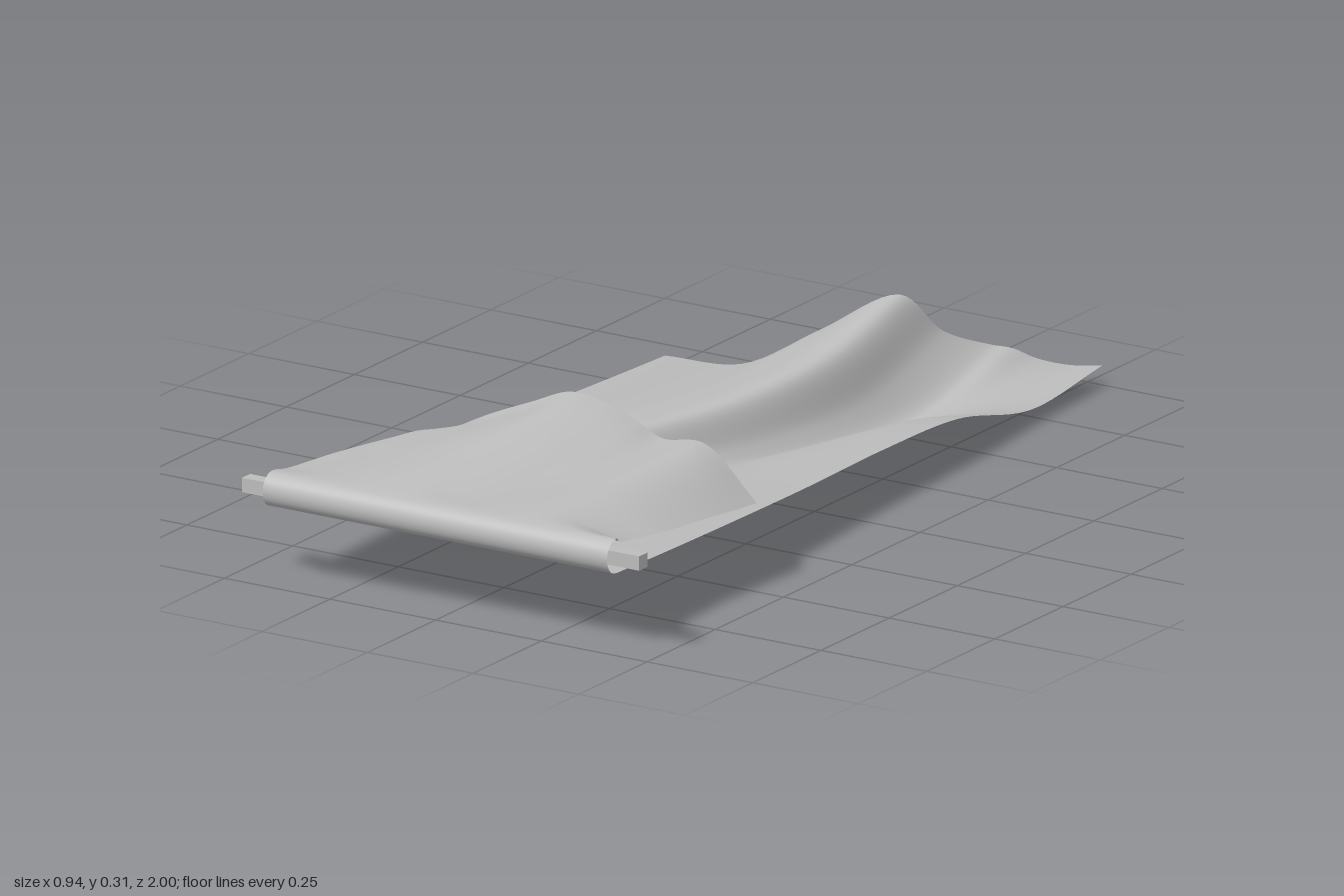
import * as THREE from 'three';

const lerp = THREE.MathUtils.lerp;

// Long lower sheet: each row runs from the right edge over a fold crest and a valley to the left edge
function sheetRows() {
  // Lengthwise lines as [x, y], from the slanted back hem to the bar, with the z of their hem end
  const steps = [1, 0.85, 0.7, 0.55, 0.4, 0.25, 0.1, 0];
  const lines = [
    { hem: -0.49, xy: [[-0.42, 0.076], [-0.42, 0.084], [-0.419, 0.094], [-0.417, 0.105], [-0.415, 0.12], [-0.413, 0.135], [-0.411, 0.149], [-0.41, 0.159]] },
    { hem: -0.7, xy: [[0, 0.22], [-0.005, 0.158], [-0.07, 0.117], [-0.18, 0.096], [-0.27, 0.097], [-0.325, 0.112], [-0.35, 0.14], [-0.35, 0.159]] },
    { hem: -0.86, xy: [[0.11, 0.092], [0.105, 0.014], [0.05, 0], [-0.06, 0.01], [-0.17, 0.036], [-0.24, 0.075], [-0.27, 0.13], [-0.27, 0.159]] },
    { hem: -1, xy: [[0.285, 0.04], [0.308, 0.032], [0.324, 0.095], [0.337, 0.112], [0.357, 0.121], [0.38, 0.136], [0.397, 0.15], [0.405, 0.159]] },
  ];
  // Points between neighbouring lines: part of the way across, part of the rise
  const between = [
    [[0, 0], [0.33, -0.08], [0.66, 0.45]],
    [[0, 0], [0.48, 0.68]],
    [[0, 0], [0.2, 0.18], [0.42, 0.62], [0.7, 0.92]],
  ];
  return steps.map((t, k) => {
    const p = lines.map(({ hem, xy }) => new THREE.Vector3(xy[k][0], xy[k][1], lerp(0.965, hem, t)));
    const row = between.flatMap((parts, i) => parts.map(([f, rise]) => {
      const q = p[i].clone().lerp(p[i + 1], f);
      q.y = lerp(p[i].y, p[i + 1].y, rise);
      return q;
    }));
    return [...row, p[3]];
  });
}

// Turn around the bar and short upper flap with a raised back hem
function flapRows() {
  const across = [0, 0.13, 0.26, 0.38, 0.49, 0.59, 0.67, 0.82, 1];
  const spread = (xa, xb, zs, ys) => across.map((f, i) => new THREE.Vector3(lerp(xa, xb, f), ys[i], zs[i]));
  const rows = [];
  for (let i = 0; i <= 6; i++) {
    const a = -Math.PI / 2 + (Math.PI * i) / 6;
    const y = 0.195 + 0.036 * Math.sin(a), z = 0.965 + 0.034 * Math.cos(a);
    rows.push(spread(-0.41, 0.405, across.map(() => z), across.map(() => y)));
  }
  const hem = [0.49, 0.445, 0.415, 0.41, 0.41, 0.412, 0.417, 0.43, 0.45];
  const flap = [
    [0.12, -0.408, 0.376, [0.222, 0.231, 0.237, 0.24, 0.234, 0.232, 0.234, 0.234, 0.203]],
    [0.4, -0.385, 0.388, [0.221, 0.231, 0.246, 0.259, 0.25, 0.237, 0.235, 0.241, 0.188]],
    [0.7, -0.345, 0.396, [0.221, 0.234, 0.261, 0.284, 0.273, 0.253, 0.241, 0.251, 0.177]],
    [0.9, -0.325, 0.402, [0.215, 0.235, 0.27, 0.3, 0.289, 0.266, 0.246, 0.259, 0.169]],
    [1, -0.345, 0.405, [0.18, 0.232, 0.272, 0.307, 0.298, 0.273, 0.25, 0.261, 0.166]],
  ];
  for (const [t, xa, xb, ys] of flap) rows.push(spread(xa, xb, hem.map((e) => lerp(0.965, e, t)), ys));
  return rows;
}

// Smooth surface through a grid of control points
function surface(rows, nu, nv) {
  const lines = rows[0].map((_, c) => new THREE.CatmullRomCurve3(rows.map((r) => r[c])));
  const pos = [], index = [];
  for (let j = 0; j <= nv; j++) {
    const section = new THREE.CatmullRomCurve3(lines.map((l) => l.getPoint(j / nv)));
    for (let i = 0; i <= nu; i++) pos.push(...section.getPoint(i / nu).toArray());
  }
  for (let j = 0; j < nv; j++) {
    for (let i = 0; i < nu; i++) {
      const a = j * (nu + 1) + i, b = a + nu + 1;
      index.push(a, a + 1, b, a + 1, b + 1, b);
    }
  }
  const g = new THREE.BufferGeometry();
  g.setAttribute('position', new THREE.Float32BufferAttribute(pos, 3));
  g.setIndex(index);
  g.computeVertexNormals();
  return g;
}

export function createModel() {
  const model = new THREE.Group();
  model.name = 'clothOverBar';
  const grey = new THREE.MeshStandardMaterial({ color: 0xbcbcbc, side: THREE.DoubleSide });
  grey.name = 'grey';

  const add = (name, geometry) => {
    const mesh = new THREE.Mesh(geometry, grey);
    mesh.name = name;
    model.add(mesh);
    return mesh;
  };

  // Draped cloth
  add('clothSheet', surface(sheetRows(), 72, 70));
  add('clothFlap', surface(flapRows(), 64, 66));

  // Square bar
  add('bar', new THREE.BoxGeometry(0.94, 0.03, 0.03)).position.set(0, 0.195, 0.967);
  return model;
}
